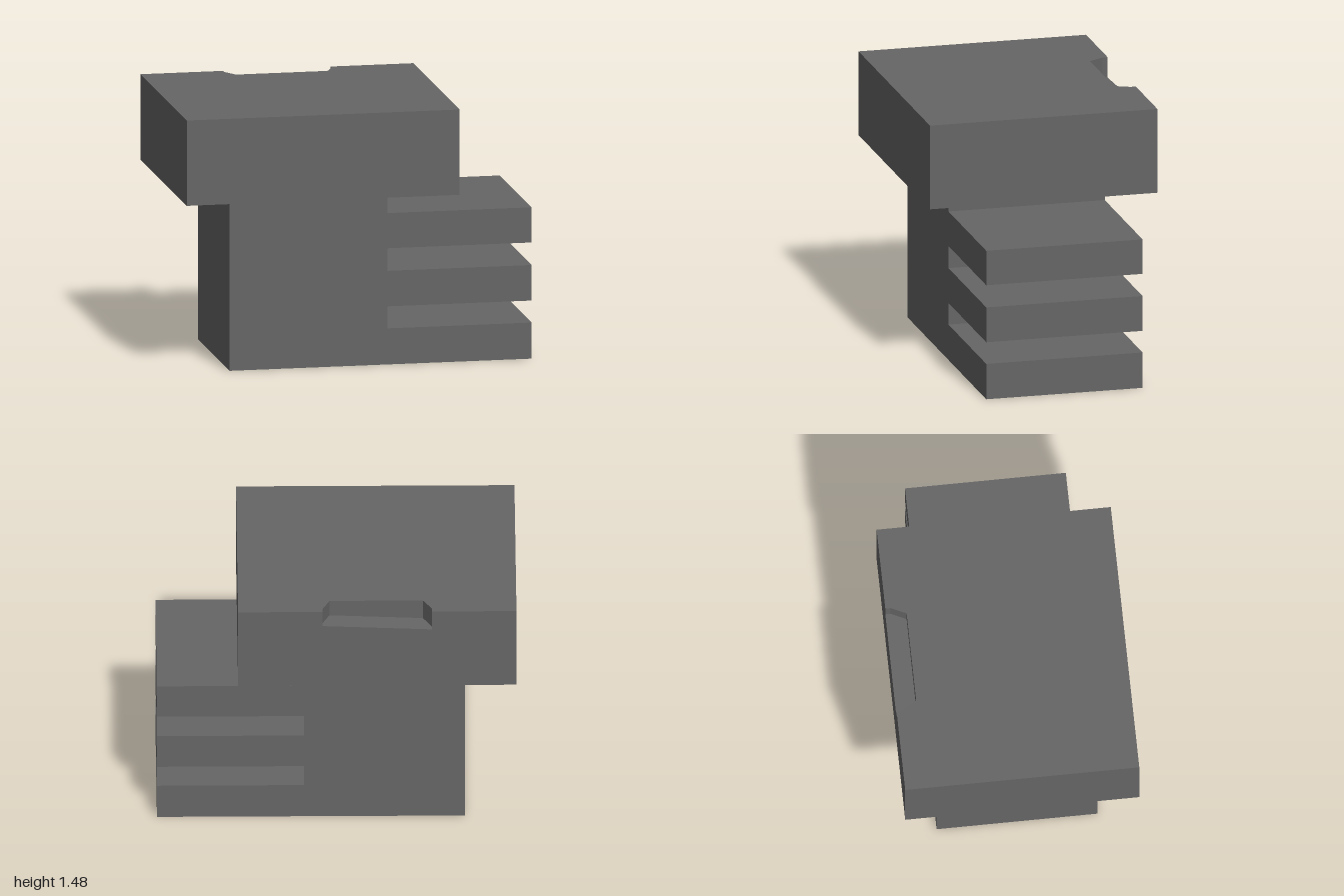
import * as THREE from 'three';

export function createModel() {
  const model = new THREE.Group();
  const grey = new THREE.MeshStandardMaterial({ color: 0x666666 });
  grey.name = 'grey';

  const add = (name, geometry) => {
    const mesh = new THREE.Mesh(geometry, grey);
    mesh.name = name;
    model.add(mesh);
    return mesh;
  };
  const shapeOf = (points) => new THREE.Shape(points.map(([x, y]) => new THREE.Vector2(x, y)));
  // box given by its lower and upper corners
  const box = (name, a, b) => add(name, new THREE.BoxGeometry(b[0] - a[0], b[1] - a[1], b[2] - a[2])
    .translate((a[0] + b[0]) / 2, (a[1] + b[1]) / 2, (a[2] + b[2]) / 2));
  // plan outline (x, -z) extruded upwards from y0 to y1
  const slab = (points, y0, y1) => new THREE.ExtrudeGeometry(shapeOf(points),
    { depth: y1 - y0, bevelEnabled: false }).rotateX(-Math.PI / 2).translate(0, y0, 0);

  // block with three shelves reaching out to one side, as one comb profile
  const inner = 0.18, outer = 1;
  const profile = [[-0.715, 0]];
  for (const [low, high] of [[0, 0.205], [0.33, 0.532], [0.66, 0.86]]) {
    if (low > 0) profile.push([inner, low]);
    profile.push([outer, low], [outer, high], [inner, high]);
  }
  profile.push([inner, 0.96], [-0.715, 0.96]);
  add('shelvedBase', new THREE.ExtrudeGeometry(shapeOf(profile),
    { depth: 0.9, bevelEnabled: false }).translate(0, 0, -0.45));

  // thin square spacer
  box('spacer', [-0.65, 0.96, -0.385], [0.11, 0.99, 0.385]);

  // top block: solid lower part, and an upper part with a notch at the back
  const rim = 0.655, split = 1.355, top = 1.475;
  const notch = [[0.08, rim], [0.08, 0.625], [0.04, 0.54], [-0.48, 0.54], [-0.53, 0.625], [-0.53, rim]];
  box('topBlock', [-1, 0.99, -rim], [0.55, split, rim]);
  add('topBlockNotched', slab([[-1, -rim], [0.55, -rim], [0.55, rim], ...notch, [-1, rim]], split, top));

  // gently sloping notch floor
  const floor = slab([...notch].reverse(), split, split + 0.03);
  const p = floor.attributes.position;
  for (let i = 0; i < p.count; i++) {
    if (p.getY(i) > split + 0.01) p.setY(i, split + 0.002 + 0.025 * (p.getX(i) + 0.53) / 0.61);
  }
  floor.computeVertexNormals();
  add('notchFloor', floor);

  return model;
}
